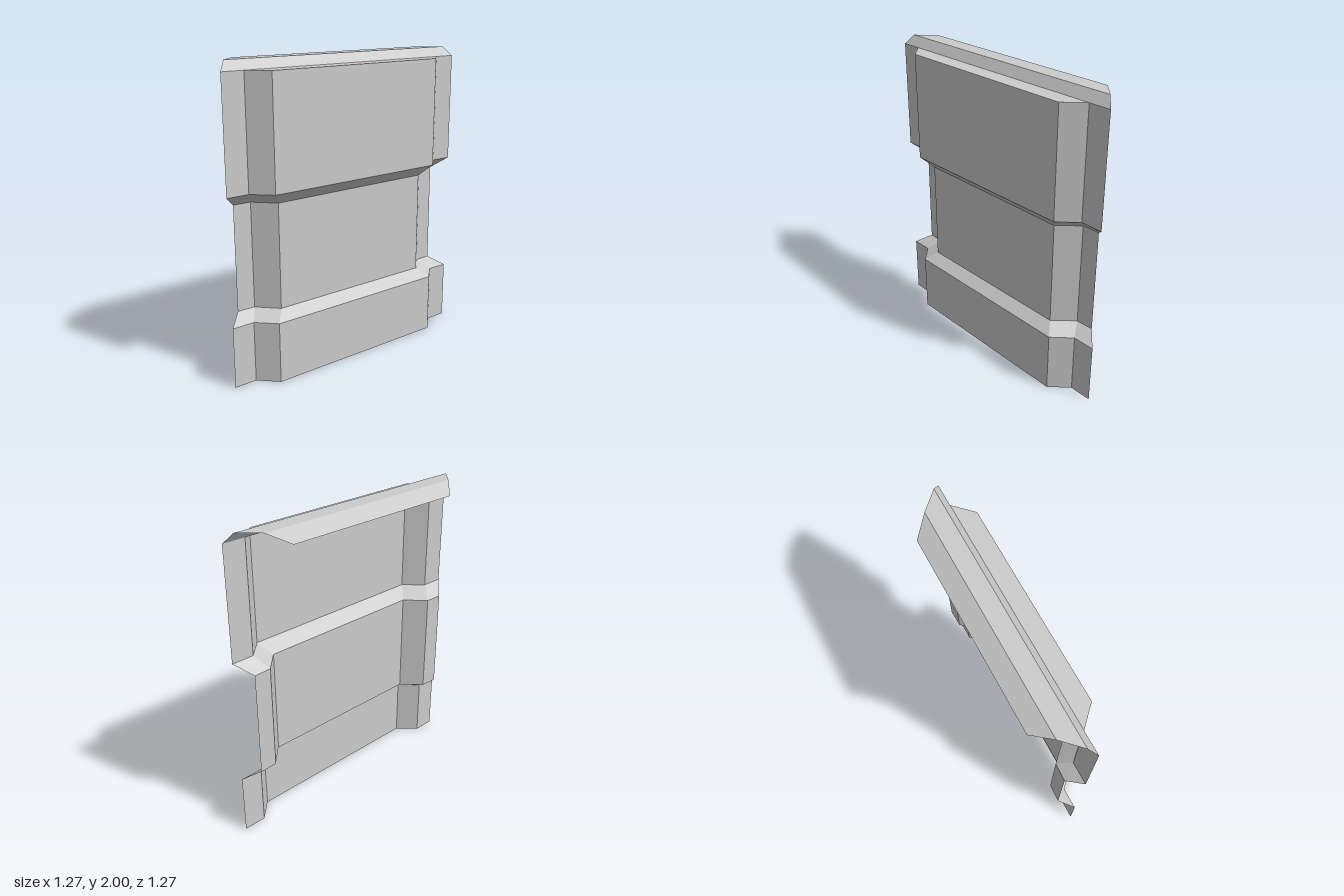
import * as THREE from 'three';

const material = new THREE.MeshStandardMaterial({
  color: 0xcccccc, flatShading: true, side: THREE.DoubleSide,
});

// Skin a sheet over rows of [x, y, z] points
function loft(name, rows) {
  const width = rows[0].length;
  const index = [];
  for (let r = 0; r < rows.length - 1; r++) {
    for (let i = 0; i < width - 1; i++) {
      const a = r * width + i, b = a + 1, c = b + width, d = a + width;
      index.push(a, b, c, a, c, d);
    }
  }
  const indexed = new THREE.BufferGeometry();
  indexed.setAttribute('position', new THREE.Float32BufferAttribute(rows.flat(2), 3));
  indexed.setIndex(index);
  const geometry = indexed.toNonIndexed();
  geometry.computeVertexNormals();
  const mesh = new THREE.Mesh(geometry, material);
  mesh.name = name;
  return mesh;
}

// Mirror a half section, listed from the outer edge inward, into a full row
function row(y, half) {
  const left = half.map(([x, z]) => [-x, y, z]);
  const right = half.map(([x, z]) => [x, y, z]).reverse();
  return [...left, ...right];
}

export function createModel() {
  const model = new THREE.Group();
  model.name = 'wallPanel';
  const panel = new THREE.Group();
  panel.name = 'diagonalPanel';
  panel.rotation.y = Math.PI / 4;
  model.add(panel);

  // Side flange, then raised centre: full section and recessed waist
  const wide = [[0.898, 0], [0.75, 0], [0.636, 0.113]];
  const waist = [[0.81, -0.088], [0.693, -0.083], [0.573, 0.04]];

  panel.add(loft('pressedWall', [
    row(0, wide), row(0.4, wide),
    row(0.46, waist), row(1.145, waist),
    row(1.22, wide), row(1.94, wide),
  ]));

  // Flat lid over the raised centre
  panel.add(loft('centreCap', [
    row(1.94, [[0.636, 0.113]]), row(1.94, [[0.75, 0]]),
  ]));

  // Hooded rim folding over to the back, with mitred open ends
  panel.add(loft('topRim', [
    row(1.94, [[0.898, 0]]), row(2, [[0.852, -0.045]]),
    row(2, [[0.739, -0.158]]), row(1.94, [[0.633, -0.265]]),
  ]));

  return model;
}
